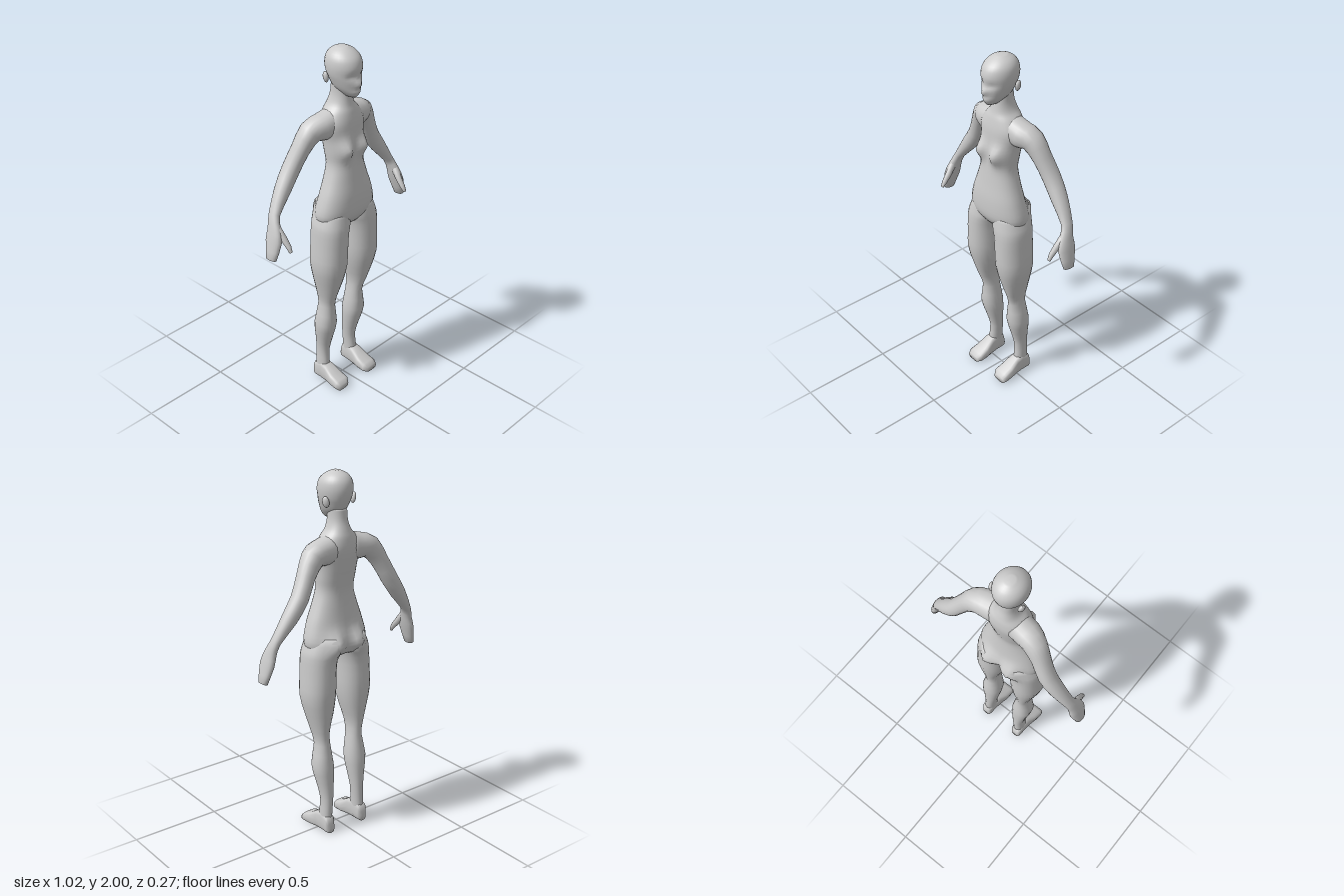
import * as THREE from 'three';

const V = (x, y, z) => new THREE.Vector3(x, y, z);
const material = new THREE.MeshStandardMaterial({ color: 0xcccccc });

// Skin over a row of sections { c, u, v }: centre and two half-axes; p < 1 is boxier
function loft(rings, sides = 16, p = 1, shape = null) {
  const pos = [], index = [], n = sides, last = rings.length - 1;
  const power = (t) => Math.sign(t) * Math.abs(t) ** p;
  for (const { c, u, v } of rings) {
    for (let j = 0; j < n; j++) {
      const a = (j / n) * Math.PI * 2;
      const q = c.clone().addScaledVector(u, power(Math.cos(a))).addScaledVector(v, power(Math.sin(a)));
      if (shape) shape(q);
      pos.push(q.x, q.y, q.z);
    }
  }
  for (let i = 0; i < last; i++) {
    for (let j = 0; j < n; j++) {
      const k = (j + 1) % n, a = i * n + j, b = i * n + k;
      index.push(a, b, b + n, a, b + n, a + n);
    }
  }
  // End caps
  const first = pos.length / 3;
  pos.push(...rings[0].c.toArray(), ...rings[last].c.toArray());
  for (let j = 0; j < n; j++) {
    const k = (j + 1) % n;
    index.push(first, k, j, first + 1, last * n + j, last * n + k);
  }
  const g = new THREE.BufferGeometry();
  g.setAttribute('position', new THREE.Float32BufferAttribute(pos, 3));
  g.setIndex(index);
  g.computeVertexNormals();
  return g;
}

// Adds smoothly interpolated rows between the given ones
function refine(rows, steps) {
  const out = [], at = (i) => rows[Math.min(Math.max(i, 0), rows.length - 1)];
  for (let i = 0; i < rows.length - 1; i++) {
    for (let s = 0; s < steps; s++) {
      const t = s / steps;
      out.push(rows[i].map((b, k) => {
        const a = at(i - 1)[k], c = at(i + 1)[k], d = at(i + 2)[k];
        return b + 0.5 * t * (c - a + t * (2 * a - 5 * b + 4 * c - d + t * (3 * (b - c) + d - a)));
      }));
    }
  }
  out.push(rows[rows.length - 1]);
  return out;
}

// Level sections, from the bottom up: [y, xMin, xMax, zFront, zBack]
const level = (rows) => rows.map(([y, x0, x1, zf, zb]) => ({
  c: V((x0 + x1) / 2, y, (zf + zb) / 2), u: V((x1 - x0) / 2, 0, 0), v: V(0, 0, -(zf - zb) / 2),
}));
const symmetric = (rows) => rows.map(([y, w, zf, zb]) => [y, -w, w, zf, zb]);

// Sections square to a path: [x, y, z, half width, half depth]
const along = (rows) => rows.map(([x, y, z, w, d], i) => {
  const a = rows[Math.max(i - 1, 0)], b = rows[Math.min(i + 1, rows.length - 1)];
  const t = V(b[0] - a[0], b[1] - a[1], b[2] - a[2]).normalize();
  const u = V(0, 0, 1).cross(t).normalize();
  return { c: V(x, y, z), u: u.clone().multiplyScalar(w), v: t.clone().cross(u).multiplyScalar(d) };
});

const bump = (a, b) => Math.exp(-a * a - b * b);

// Chest and seat swellings, shared by torso and legs
function bodyShape(q) {
  const x = Math.abs(q.x);
  if (q.z > 0) q.z += 0.042 * bump((x - 0.06) / 0.038, (q.y - 1.475) / 0.05);
  else q.z -= 0.05 * bump((x - 0.07) / 0.045, (q.y - 1.1) / 0.06) * Math.min(1, -q.z / 0.06);
}

// Nose, lips and shallow eye hollows
function faceShape(q) {
  if (q.z < 0.03) return;
  q.z += 0.02 * bump(q.x / 0.016, (q.y - 1.828) / 0.018);
  q.z += 0.007 * bump(q.x / 0.025, (q.y - 1.787) / 0.01);
  q.z -= 0.008 * bump((Math.abs(q.x) - 0.035) / 0.02, (q.y - 1.865) / 0.018);
}

export function createModel() {
  const model = new THREE.Group();
  const add = (name, geometry) => {
    const mesh = new THREE.Mesh(geometry, material);
    mesh.name = name;
    model.add(mesh);
  };
  // Left part and its mirror image, with the faces turned back outward
  const pair = (name, geometry) => {
    add('left' + name, geometry);
    const g = geometry.clone().scale(-1, 1, 1), ix = g.index.array;
    for (let i = 0; i < ix.length; i += 3) [ix[i], ix[i + 1]] = [ix[i + 1], ix[i]];
    g.computeVertexNormals();
    add('right' + name, g);
  };

  // Torso and neck: [y, half width, zFront, zBack]
  add('torso', loft(level(symmetric(refine([
    [1.04, 0.15, 0.08, -0.08], [1.10, 0.187, 0.116, -0.096], [1.20, 0.166, 0.119, -0.082],
    [1.30, 0.13, 0.106, -0.07], [1.38, 0.107, 0.096, -0.066], [1.45, 0.11, 0.088, -0.077],
    [1.52, 0.116, 0.084, -0.09], [1.60, 0.13, 0.08, -0.1], [1.66, 0.1, 0.068, -0.095],
    [1.70, 0.065, 0.055, -0.084], [1.75, 0.049, 0.046, -0.068], [1.81, 0.048, 0.04, -0.06],
  ], 4))), 32, 0.92, bodyShape));

  // Head
  add('head', loft(level(symmetric(refine([
    [1.752, 0.02, 0.092, 0.01], [1.772, 0.038, 0.106, -0.02], [1.80, 0.058, 0.107, -0.055],
    [1.84, 0.074, 0.11, -0.077], [1.87, 0.083, 0.108, -0.088], [1.91, 0.087, 0.11, -0.095],
    [1.95, 0.08, 0.096, -0.088], [1.98, 0.057, 0.062, -0.064], [1.998, 0.022, 0.025, -0.028],
  ], 3))), 28, 1, faceShape));

  const ear = new THREE.SphereGeometry(1, 10, 8);
  ear.scale(0.013, 0.03, 0.02).rotateY(0.35).rotateZ(-0.15).translate(0.088, 1.852, -0.03);
  pair('Ear', ear);

  // Legs: [y, xInner, xOuter, zFront, zBack]
  pair('Leg', loft(level(refine([
    [0.03, 0.08, 0.143, -0.005, -0.09], [0.10, 0.08, 0.142, -0.005, -0.09],
    [0.20, 0.073, 0.138, -0.012, -0.09], [0.30, 0.061, 0.154, 0.014, -0.088],
    [0.40, 0.053, 0.17, 0.04, -0.085], [0.52, 0.07, 0.148, 0.034, -0.066],
    [0.60, 0.072, 0.16, 0.058, -0.07], [0.70, 0.046, 0.186, 0.09, -0.083],
    [0.80, 0.028, 0.207, 0.114, -0.094], [0.90, 0.024, 0.204, 0.117, -0.095],
    [1.00, 0.018, 0.2, 0.118, -0.093], [1.06, 0.001, 0.193, 0.115, -0.094],
    [1.14, 0.008, 0.16, 0.1, -0.08],
  ], 2)), 24, 0.92, bodyShape));

  // Feet, heel to toe: [z, xInner, xOuter, yTop]
  const foot = [
    [-0.1, 0.09, 0.135, 0.06], [-0.088, 0.082, 0.145, 0.1], [-0.04, 0.078, 0.147, 0.12],
    [0, 0.073, 0.15, 0.11], [0.05, 0.063, 0.16, 0.075], [0.1, 0.062, 0.164, 0.055],
    [0.12, 0.078, 0.156, 0.036],
  ];
  pair('Foot', loft(foot.map(([z, x0, x1, top]) => ({
    c: V((x0 + x1) / 2, top / 2, z), u: V((x1 - x0) / 2, 0, 0), v: V(0, top / 2, 0),
  })), 16, 0.65));

  // Arms with closed hand: [x, y, z, half width, half depth]
  pair('Arm', loft(along(refine([
    [0.04, 1.605, -0.02, 0.08, 0.07], [0.13, 1.595, -0.028, 0.068, 0.07],
    [0.185, 1.58, -0.045, 0.06, 0.06], [0.24, 1.5, -0.062, 0.046, 0.05],
    [0.293, 1.4, -0.08, 0.044, 0.048], [0.357, 1.305, -0.078, 0.04, 0.043],
    [0.43, 1.2, -0.064, 0.023, 0.032], [0.45, 1.14, -0.045, 0.024, 0.04],
    [0.467, 1.075, -0.034, 0.025, 0.052], [0.492, 0.978, -0.03, 0.018, 0.032],
  ], 2)), 20, 0.92));

  // Thumbs
  pair('Thumb', loft(along([
    [0.447, 1.15, -0.03, 0.018, 0.02], [0.44, 1.095, 0.012, 0.017, 0.018],
    [0.437, 1.06, 0.042, 0.014, 0.014], [0.438, 1.032, 0.06, 0.009, 0.008],
  ]), 10));

  return model;
}
